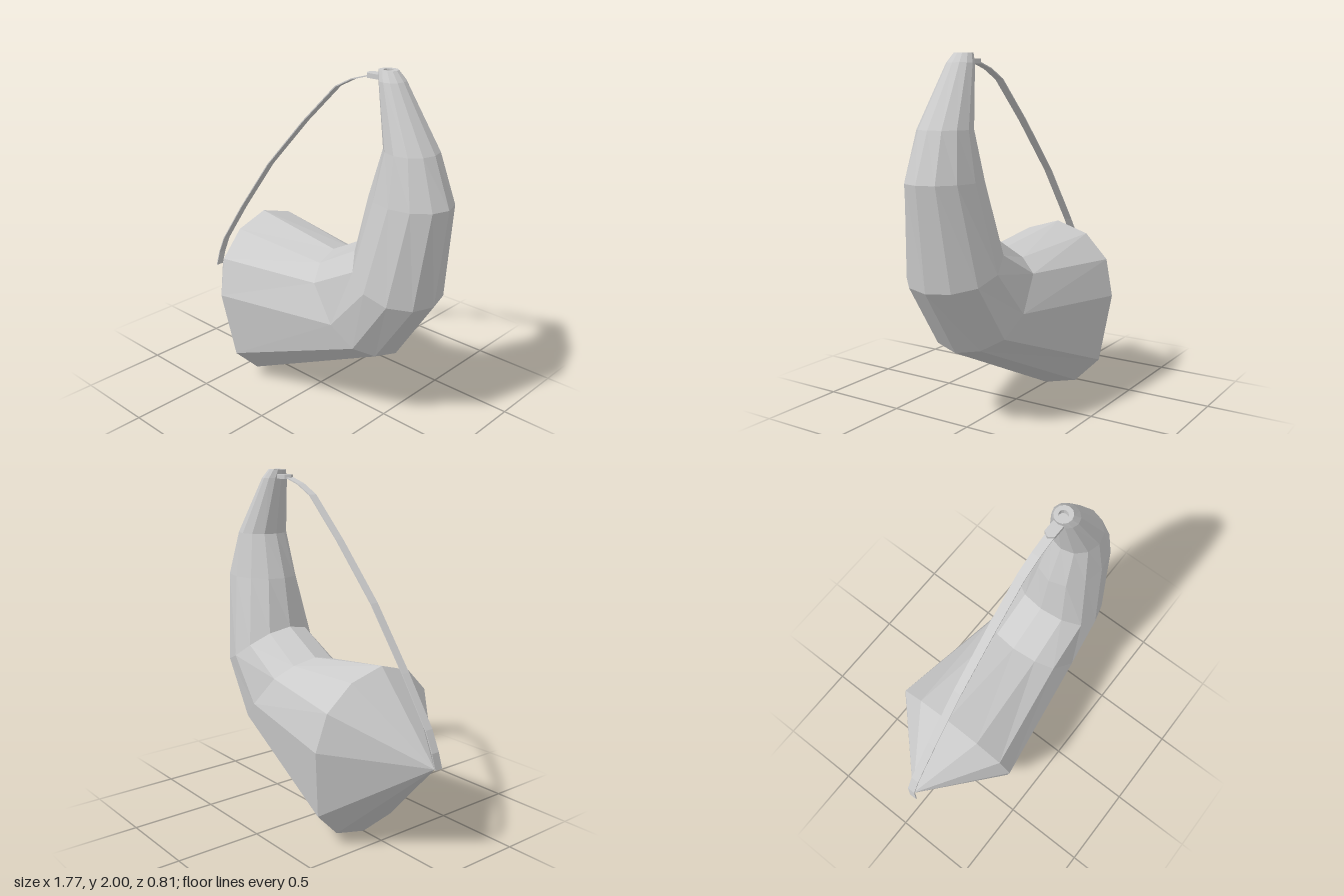
import * as THREE from 'three';

const material = new THREE.MeshStandardMaterial({ color: 0xcccccc, flatShading: true, side: THREE.DoubleSide });

// Skin a list of closed rings of points, with optional flat end caps
function loft(rings, capStart, capEnd) {
  const pos = [];
  const tri = (a, b, c) => {
    const n = b.clone().sub(a).cross(c.clone().sub(a));
    if (n.length() > 1e-9) pos.push(...a.toArray(), ...b.toArray(), ...c.toArray());
  };
  const n = rings[0].length;
  for (let i = 0; i < rings.length - 1; i++) {
    for (let j = 0; j < n; j++) {
      const k = (j + 1) % n, r = rings[i], s = rings[i + 1];
      tri(r[j], r[k], s[j]);
      tri(r[k], s[k], s[j]);
    }
  }
  const first = rings[0], last = rings[rings.length - 1];
  for (let j = 1; j < n - 1; j++) {
    if (capStart) tri(first[0], first[j + 1], first[j]);
    if (capEnd) tri(last[0], last[j], last[j + 1]);
  }
  const g = new THREE.BufferGeometry();
  g.setAttribute('position', new THREE.Float32BufferAttribute(pos, 3));
  g.computeVertexNormals();
  return g;
}

// Fractions from the inner to the outer edge of a 12-sided section
const ROUND = [0, 0.067, 0.25, 0.5, 0.75, 0.933, 1];
const WIDE = [0, 0.06, 0.2, 0.41, 0.8, 0.95, 1];
const BENT = [0, 0.06, 0.19, 0.55, 0.8, 0.94, 1];

// Section between an inner and an outer point; bow curves it along the body
function section({ a, b, w, z = 0.015, t = ROUND, bow = 0 }) {
  const dx = b[0] - a[0], dy = b[1] - a[1], len = Math.hypot(dx, dy) || 1;
  return Array.from({ length: 12 }, (_, j) => {
    const f = t[j <= 6 ? j : 12 - j];
    const o = bow * Math.sin(Math.PI * f);
    return new THREE.Vector3(
      a[0] + dx * f + (dy / len) * o,
      a[1] + dy * f - (dx / len) * o,
      z + w * Math.sin((j * Math.PI) / 6)
    );
  });
}

export function createModel() {
  const model = new THREE.Group();
  const add = (name, geometry) => {
    const mesh = new THREE.Mesh(geometry, material);
    mesh.name = name;
    model.add(mesh);
    return mesh;
  };

  // Curved horn: pointed cap, wide mouth, bend, tapering neck and hollow spout
  const sections = [
    { a: [-0.87, 0.54], b: [-0.87, 0.54], w: 0, z: 0.02 },
    { a: [-0.48, 1.01], b: [-0.35, 0], w: 0.407, z: 0, t: WIDE },
    { a: [0.11, 0.93], b: [0.58, 0.44], w: 0.28, z: 0.012, t: BENT, bow: 0.03 },
    { a: [0.36, 1.07], b: [0.82, 0.81], w: 0.265, bow: 0.055 },
    { a: [0.41, 1.36], b: [0.88, 1.36], w: 0.19 },
    { a: [0.49, 1.62], b: [0.78, 1.62], w: 0.145 },
    { a: [0.43, 1.95], b: [0.57, 1.95], w: 0.075 },
    { a: [0.42, 2], b: [0.525, 2], w: 0.05 },
    { a: [0.447, 2], b: [0.497, 2], w: 0.025 },
    { a: [0.447, 1.97], b: [0.497, 1.97], w: 0.025 },
  ];
  add('hornBody', loft(sections.map(section), false, true));

  // Thin flat strap from the pointed cap to the neck
  const path = [
    [-0.883, 0.54], [-0.87, 0.63], [-0.82, 0.74], [-0.64, 1.0], [-0.39, 1.33],
    [-0.1, 1.64], [0.14, 1.87], [0.25, 1.925], [0.36, 1.957],
  ];
  const strap = path.map(([x, y], i) => {
    const p = path[Math.max(i - 1, 0)], q = path[Math.min(i + 1, path.length - 1)];
    const len = Math.hypot(q[0] - p[0], q[1] - p[1]);
    const nx = (-(q[1] - p[1]) / len) * 0.003, ny = ((q[0] - p[0]) / len) * 0.003;
    const z = i === 0 ? 0.035 : 0.02, h = 0.024;
    return [[1, -h], [1, h], [-1, h], [-1, -h]].map(
      ([s, d]) => new THREE.Vector3(x + nx * s, y + ny * s, z + d)
    );
  });
  add('strap', loft(strap, true, true));

  // Small clasp joining the strap to the neck
  const clasp = new THREE.Shape([
    [0.34, 0], [0.36, 0.03], [0.45, 0.03], [0.45, -0.03], [0.36, -0.03],
  ].map(([x, z]) => new THREE.Vector2(x, z)));
  const claspGeometry = new THREE.ExtrudeGeometry(clasp, { depth: 0.025, bevelEnabled: false });
  claspGeometry.rotateX(-Math.PI / 2);
  add('strapClasp', claspGeometry).position.set(0, 1.948, 0.017);

  return model;
}
